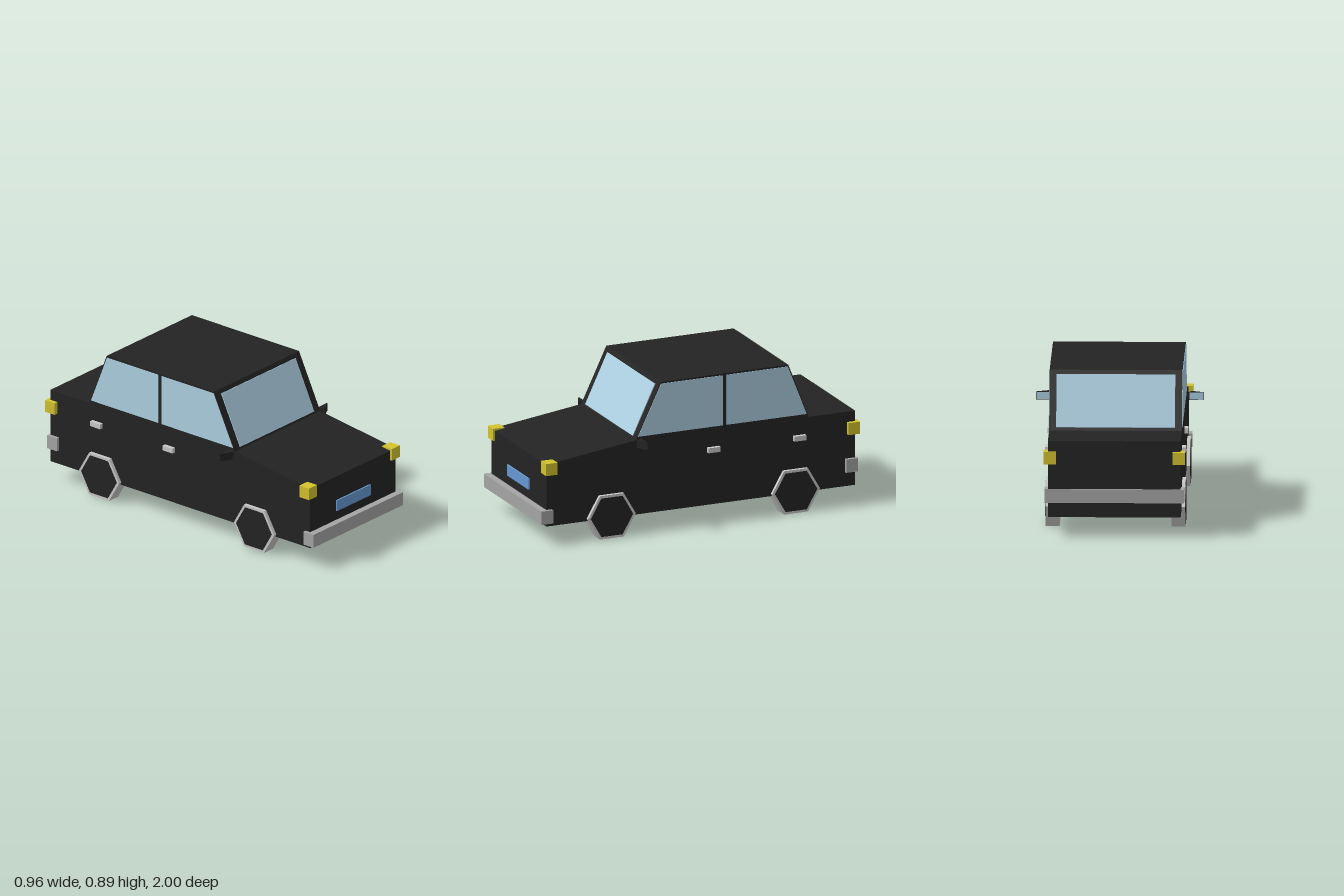
import * as THREE from 'three';

const mat = (name, color) => {
  const m = new THREE.MeshStandardMaterial({ color });
  m.name = name;
  return m;
};

export function createModel() {
  const car = new THREE.Group();
  car.name = 'car';
  const paint = mat('black paint', 0x232323);
  const glass = mat('pale blue glass', 0xadd0e2);
  const silver = mat('silver', 0xc8c8c8);
  const grey = mat('bumper grey', 0xa5a5a5);
  const yellow = mat('lamp yellow', 0xd2c22e);
  const blue = mat('plate blue', 0x6698d2);

  const add = (name, geometry, material, x = 0, y = 0, z = 0) => {
    const mesh = new THREE.Mesh(geometry, material);
    mesh.name = name;
    mesh.position.set(x, y, z);
    car.add(mesh);
    return mesh;
  };
  const box = (name, material, w, h, d, x, y, z) =>
    add(name, new THREE.BoxGeometry(w, h, d), material, x, y, z);

  // Side outline given as [z, y], extruded across the car's width
  const profile = (points, width) => {
    const shape = new THREE.Shape(points.map(([z, y]) => new THREE.Vector2(z, y)));
    return new THREE.ExtrudeGeometry(shape, { depth: width, bevelEnabled: false })
      .translate(0, 0, -width / 2).rotateY(-Math.PI / 2);
  };
  // Six-sided disc lying across the car, with hard edges
  const hexagon = (radius, width) => {
    const g = new THREE.CylinderGeometry(radius, radius, width, 6).rotateZ(Math.PI / 2).toNonIndexed();
    g.computeVertexNormals();
    return g;
  };

  // Body and cabin
  add('body', profile([[-0.98, 0.115], [0.96, 0.115], [0.96, 0.485], [0.4, 0.56], [-0.98, 0.56]], 0.76), paint);
  add('cabin', profile([[-0.69, 0.555], [0.4, 0.555], [0.24, 0.89], [-0.56, 0.89]], 0.76), paint);

  // Windscreen and rear window
  add('windscreen', profile([[0.39, 0.57], [0.396, 0.573], [0.257, 0.867], [0.25, 0.865]], 0.66), glass);
  add('rearWindow', profile([[-0.68, 0.577], [-0.566, 0.865], [-0.573, 0.868], [-0.687, 0.58]], 0.68), glass);

  // Bumpers and number plate
  box('frontBumper', grey, 0.8, 0.08, 0.075, 0, 0.175, 0.9625);
  box('rearBumper', grey, 0.8, 0.08, 0.075, 0, 0.24, -0.9525);
  box('numberPlate', blue, 0.3, 0.066, 0.009, 0, 0.305, 0.9645);

  for (const [label, s] of [['left', 1], ['right', -1]]) {
    // Side windows
    add(label + 'FrontWindow', profile([[-0.147, 0.58], [0.385, 0.58], [0.24, 0.88], [-0.147, 0.88]], 0.008),
      glass, s * 0.379);
    add(label + 'RearWindow', profile([[-0.675, 0.58], [-0.173, 0.58], [-0.173, 0.88], [-0.556, 0.88]], 0.008),
      glass, s * 0.379);

    // Lamps
    box(label + 'Headlamp', yellow, 0.072, 0.072, 0.072, s * 0.369, 0.462, 0.936);
    box(label + 'TailLamp', yellow, 0.072, 0.072, 0.072, s * 0.369, 0.462, -0.964);

    // Door handles
    for (const z of [-0.087, -0.627])
      box(label + 'DoorHandle', silver, 0.03, 0.03, 0.075, s * 0.388, 0.445, z);

    // Wheels with dark centres
    for (const z of [0.557, -0.6]) {
      add(label + 'Wheel', hexagon(0.15, 0.08), silver, s * 0.36, 0.13, z);
      add(label + 'WheelCentre', hexagon(0.133, 0.004), paint, s * 0.4, 0.13, z);
    }

    // Wedge-shaped mirror on a short arm, with glass facing back
    const wedge = new THREE.Shape([[0.48, -0.37], [0.41, -0.405], [0.393, -0.37]]
      .map(([x, y]) => new THREE.Vector2(s * x, y)));
    add(label + 'Mirror', new THREE.ExtrudeGeometry(wedge, { depth: 0.047, bevelEnabled: false })
      .rotateX(-Math.PI / 2), paint, 0, 0.524, 0);
    box(label + 'MirrorArm', paint, 0.03, 0.022, 0.014, s * 0.39, 0.547, 0.379);
    box(label + 'MirrorGlass', glass, 0.08, 0.041, 0.004, s * 0.437, 0.5475, 0.369);
  }
  return car;
}
